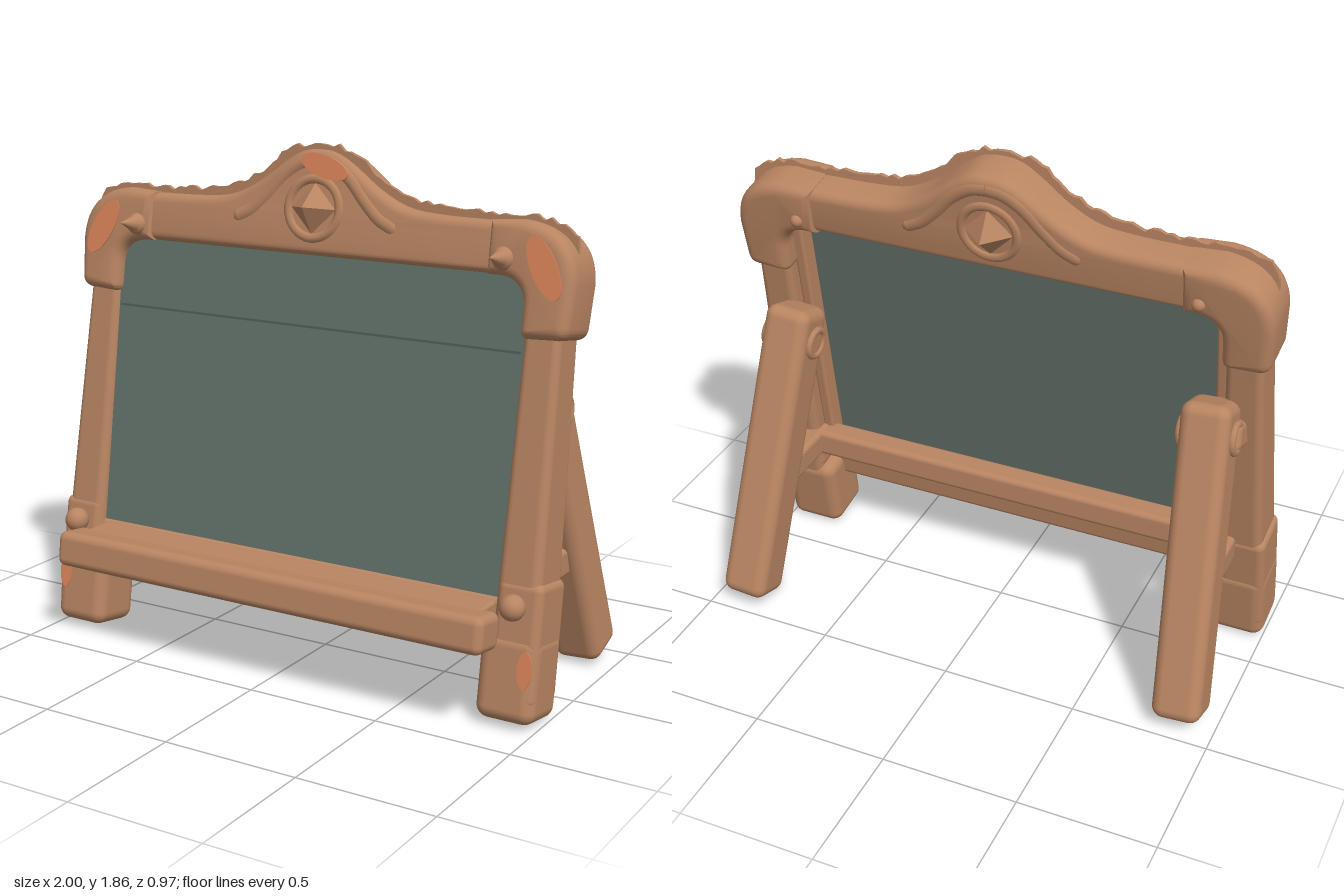
import * as THREE from 'three';
import { toCreasedNormals } from 'three/addons/utils/BufferGeometryUtils.js';
import { RoundedBoxGeometry } from 'three/addons/geometries/RoundedBoxGeometry.js';

const mat = (name, color) => {
  const m = new THREE.MeshStandardMaterial({ color });
  m.name = name;
  return m;
};

export function createModel() {
  const wood = mat('wood', 0xb98562);
  const slate = mat('slate', 0x62716a);
  const seamDark = mat('slate seam', 0x4f5c56);
  const worn = mat('worn orange', 0xdb8359);

  const model = new THREE.Group();
  model.name = 'chalkboardEasel';
  // everything in this group leans back with the board
  const frame = new THREE.Group();
  frame.name = 'leaningFrame';
  frame.position.z = 0.25;
  frame.rotation.x = -0.159;
  model.add(frame);

  const add = (parent, name, geo, material, x = 0, y = 0, z = 0) => {
    const mesh = new THREE.Mesh(geo, material);
    mesh.name = name;
    mesh.position.set(x, y, z);
    parent.add(mesh);
    return mesh;
  };
  const block = (w, h, d, r = 0.03) => new RoundedBoxGeometry(w, h, d, 4, r);

  // rounded post that gets slimmer towards the top
  const taperedPost = (w, h, d, taper) => {
    const g = block(w, h, d);
    const p = g.attributes.position;
    for (let i = 0; i < p.count; i++) {
      const k = 1 - taper * p.getY(i) / (h / 2);
      p.setX(i, p.getX(i) * k);
      p.setZ(i, p.getZ(i) * k);
    }
    return g;
  };

  // bevelled slab of the given depth, centred on z = 0
  const slab = (shape, depth, bevel) => {
    const g = new THREE.ExtrudeGeometry(shape, {
      depth: depth - 2 * bevel, bevelThickness: bevel, bevelSize: bevel,
      bevelOffset: -bevel, bevelSegments: 5, curveSegments: 12,
    });
    g.translate(0, 0, -depth / 2 + bevel);
    return toCreasedNormals(g, 0.8);
  };

  // thin oval patch of worn paint
  const patch = (name, x, y, z, rx, ry, turn) => {
    const s = new THREE.Shape();
    s.absellipse(0, 0, rx, ry, 0, Math.PI * 2);
    const g = new THREE.ExtrudeGeometry(s, { depth: 0.006, bevelEnabled: false, curveSegments: 20 });
    add(frame, name, g, worn, x, y, z).rotation.z = turn;
  };

  // writing board, set towards the front of the frame
  add(frame, 'board', new THREE.BoxGeometry(1.68, 1.24, 0.02), slate, 0, 0.9, 0.052);
  add(frame, 'boardSeam', new THREE.BoxGeometry(1.64, 0.008, 0.006), seamDark, 0, 1.232, 0.062);

  // top beam with its arched crest
  const crest = [[0.72, 1.655], [0.5, 1.66], [0.36, 1.675], [0.25, 1.725], [0.14, 1.805], [0.07, 1.845]];
  const beam = new THREE.Shape();
  beam.moveTo(-0.86, 1.482);
  beam.lineTo(0.86, 1.482);
  beam.lineTo(0.86, 1.63);
  beam.splineThru([
    ...crest.map(([x, y]) => new THREE.Vector2(x, y)),
    new THREE.Vector2(0, 1.855),
    ...crest.slice().reverse().map(([x, y]) => new THREE.Vector2(-x, y)),
    new THREE.Vector2(-0.86, 1.63),
  ]);
  add(frame, 'topBeam', slab(beam, 0.185, 0.035), wood);

  // crest medallion and gems, front and back
  for (const f of [1, -1]) {
    add(frame, 'medallionRing', new THREE.TorusGeometry(0.103, 0.02, 8, 32), wood, 0, 1.645, f * 0.084);
    const gem = new THREE.ConeGeometry(0.092, 0.08, 4).toNonIndexed();
    gem.computeVertexNormals();
    add(frame, 'medallionGem', gem, wood, 0, 1.645, f * 0.13).rotation.x = f * Math.PI / 2;
    for (const s of [1, -1]) {
      const path = new THREE.CatmullRomCurve3([
        [0.31, 1.6], [0.26, 1.625], [0.2, 1.68], [0.13, 1.755], [0.06, 1.8], [0, 1.81],
      ].map(([x, y]) => new THREE.Vector3(s * x, y, f * 0.066)));
      add(frame, 'crestScroll', new THREE.TubeGeometry(path, 24, 0.034, 10), wood);
      add(frame, 'scrollTip', new THREE.SphereGeometry(0.034, 12, 8), wood, s * 0.31, 1.6, f * 0.066);
    }
  }
  patch('crestPatch', 0.038, 1.79, 0.101, 0.098, 0.038, -0.28);

  // rounded corner cap, drawn for side s
  const capShape = (s) => {
    const c = new THREE.Shape();
    c.moveTo(s * 0.68, 1.48);
    c.lineTo(s * 0.73, 1.48);
    c.quadraticCurveTo(s * 0.82, 1.47, s * 0.82, 1.385);
    c.lineTo(s * 0.82, 1.31);
    c.quadraticCurveTo(s * 0.82, 1.28, s * 0.85, 1.28);
    c.lineTo(s * 0.95, 1.285);
    c.quadraticCurveTo(s * 0.99, 1.29, s * 0.992, 1.33);
    c.lineTo(s * 1.0, 1.47);
    c.quadraticCurveTo(s * 0.995, 1.65, s * 0.8, 1.668);
    c.lineTo(s * 0.68, 1.66);
    c.closePath();
    return c;
  };

  for (const s of [1, -1]) {
    add(frame, 'cornerCap', slab(capShape(s), 0.218, 0.04), wood);
    patch('capPatch', s * 0.895, 1.515, 0.107, 0.046, 0.112, s * 0.5);

    // pointed pegs through the caps
    add(frame, 'pegCollar', new THREE.SphereGeometry(0.04, 16, 10), wood, s * 0.745, 1.535, 0.1);
    add(frame, 'pegPoint', new THREE.ConeGeometry(0.036, 0.1, 16), wood, s * 0.745, 1.535, 0.157)
      .rotation.x = Math.PI / 2;
    add(frame, 'backPeg', new THREE.SphereGeometry(0.025, 12, 8), wood, s * 0.745, 1.535, -0.105);

    // side posts and their heavy feet
    add(frame, 'sidePost', taperedPost(0.145, 1.1, 0.178, 0.12), wood, s * 0.899, 0.85, 0)
      .rotation.z = s * 0.01;
    add(frame, 'backTrim', block(0.045, 1.08, 0.075, 0.012), wood, s * 0.807, 0.95, 0.004);
    add(frame, 'foot', block(0.215, 0.3, 0.215, 0.045), wood, s * 0.892, 0.16, 0);
    add(frame, 'footCuff', taperedPost(0.168, 0.42, 0.204, 0.02), wood, s * 0.912, 0.28, 0);
    patch('footPatch', s * 0.96, 0.2, 0.104, 0.026, 0.064, 0);

    // round knobs beside the tray
    add(model, 'trayKnob', new THREE.SphereGeometry(0.045, 16, 12), wood, s * 0.907, 0.422, 0.315);

    // rear prop leg, splayed out and back
    const leg = new THREE.Group();
    leg.name = 'rearLeg';
    const top = new THREE.Vector3(s * 0.8, 1.11, -0.048);
    const end = new THREE.Vector3(s * 0.868, 0.04, -0.402);
    leg.position.copy(top).add(end).multiplyScalar(0.5);
    leg.rotation.set(0.322, 0, s * 0.062);
    model.add(leg);
    add(leg, 'legBar', block(0.178, 1.145, 0.182, 0.042), wood);
    add(leg, 'pivotDisc', new THREE.CylinderGeometry(0.055, 0.055, 0.194, 24), wood, 0, 0.45, 0.01)
      .rotation.z = Math.PI / 2;
    for (const e of [1, -1]) {
      add(leg, 'pivotRim', new THREE.TorusGeometry(0.05, 0.014, 8, 24), wood, e * 0.093, 0.45, 0.01)
        .rotation.y = Math.PI / 2;
    }
    add(leg, 'hingeBlock', block(0.12, 0.11, 0.14), wood, s * 0.05, 0.45, 0.07);

    // brace between post and rear leg
    add(model, 'sideBrace', block(0.085, 0.105, 0.38, 0.02), wood, s * 0.845, 0.43, -0.03);
  }

  // back crossbar joining the braces, with the apron in front of it
  add(model, 'backCrossbar', block(1.74, 0.105, 0.1, 0.02), wood, 0, 0.425, 0.13);
  add(frame, 'apron', block(1.7, 0.21, 0.08, 0.025), wood, 0, 0.315, 0.035);

  // ledge and chalk tray
  add(model, 'trayLedge', block(1.64, 0.11, 0.175, 0.012), wood, 0, 0.357, 0.325);
  add(model, 'tray', block(1.75, 0.13, 0.15, 0.03), wood, 0, 0.351, 0.405).rotation.x = -0.14;

  // thin ragged ridge standing along the top edge
  let seed = 7;
  const rand = () => (seed = (seed * 16807) % 2147483647) / 2147483647;
  const ridgeLine = new THREE.CatmullRomCurve3([
    [-0.98, 1.55], [-0.96, 1.625], [-0.87, 1.658], [-0.6, 1.664], [-0.38, 1.685], [-0.25, 1.745], [-0.12, 1.835],
    [0, 1.855], [0.12, 1.835], [0.25, 1.745], [0.38, 1.685], [0.6, 1.664], [0.87, 1.658], [0.96, 1.625], [0.98, 1.55],
  ].map(([x, y]) => new THREE.Vector3(x, y, 0)));
  const ridge = new THREE.Shape();
  ridge.moveTo(0.9, 1.54);
  ridge.lineTo(-0.9, 1.54);
  for (const p of ridgeLine.getSpacedPoints(90)) ridge.lineTo(p.x, p.y + (rand() - 0.4) * 0.022);
  ridge.closePath();
  const ridgeGeo = new THREE.ExtrudeGeometry(ridge, { depth: 0.016, bevelEnabled: false });
  add(model, 'raggedRidge', ridgeGeo, wood, 0, 0, 0.015);

  return model;
}
